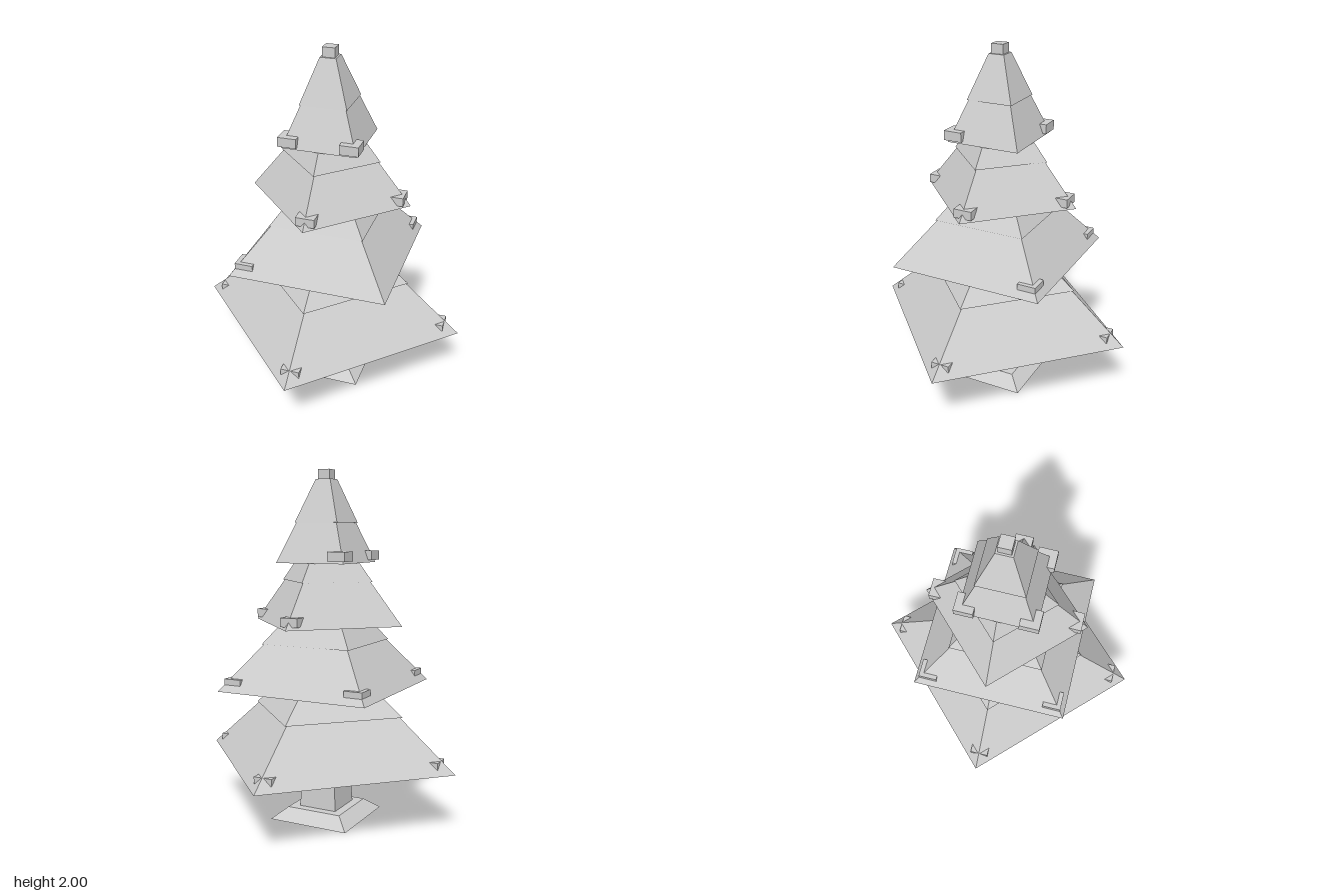
import * as THREE from 'three';

const paint = new THREE.MeshStandardMaterial({ color: 0xcccccc });
paint.name = 'light grey';

// Four-sided frustum; r is the half width (square) or the corner distance (diamond)
function frustum(name, y0, y1, r0, r1, diamond = false) {
  const k = diamond ? 1 : Math.SQRT2;
  let geo = new THREE.CylinderGeometry(r1 * k, r0 * k, y1 - y0, 4);
  if (!diamond) geo.rotateY(Math.PI / 4);
  geo = geo.toNonIndexed();
  geo.computeVertexNormals();
  geo.translate(0, (y0 + y1) / 2, 0);
  const mesh = new THREE.Mesh(geo, paint);
  mesh.name = name;
  return mesh;
}

// Each tier: lower skirt [y0, r0], seam height, skirt top radius, then an overhanging upper skirt
// Ornaments: box height range, distance from the axis, and the corners that carry one [x, z]
const tiers = [
  { name: 'bottomTier', diamond: true, y: [0.345, 0.631, 0.80], r: [0.79, 0.46, 0.476, 0.272],
    oy: [0.376, 0.414], od: 0.653, corners: [[0, 1], [1, 0], [0, -1], [-1, 0]] },
  { name: 'lowerTier', diamond: false, y: [0.773, 1.029, 1.16], r: [0.45, 0.261, 0.27, 0.177],
    oy: [0.806, 0.844], od: 0.37, corners: [[-1, -1], [1, -1], [-1, 1]] },
  { name: 'upperTier', diamond: true, y: [1.14, 1.38, 1.50], r: [0.467, 0.275, 0.287, 0.193],
    oy: [1.156, 1.205], od: 0.381, corners: [[0, 1], [1, 0], [0, -1]] },
  { name: 'topTier', diamond: false, y: [1.483, 1.706, 1.947], r: [0.209, 0.125, 0.132, 0.045],
    oy: [1.496, 1.549], od: 0.172, corners: [[-1, -1], [-1, 1], [1, 1]] },
];

export function createModel() {
  const tree = new THREE.Group();
  tree.name = 'tree';

  // Stand and trunk
  tree.add(frustum('base', 0, 0.063, 0.24, 0.165));
  tree.add(frustum('trunk', 0.06, 0.35, 0.115, 0.098));

  // Foliage tiers, alternately turned by 45 degrees, with box ornaments at the corners
  for (const t of tiers) {
    const tier = new THREE.Group();
    tier.name = t.name;
    const [y0, y1, y2] = t.y;
    const [r0, r1, r2, r3] = t.r;
    tier.add(frustum('lowerSkirt', y0, y1, r0, r1, t.diamond));
    tier.add(frustum('upperSkirt', y1, y2, r2, r3, t.diamond));
    for (const [x, z] of t.corners) {
      const box = new THREE.BoxGeometry(0.105, t.oy[1] - t.oy[0], 0.105);
      const ornament = new THREE.Mesh(box, paint);
      ornament.name = 'ornament';
      ornament.position.set(x * t.od, (t.oy[0] + t.oy[1]) / 2, z * t.od);
      tier.add(ornament);
    }
    tree.add(tier);
  }

  // Block on the tip
  const topper = new THREE.Mesh(new THREE.BoxGeometry(0.07, 0.06, 0.07), paint);
  topper.name = 'topper';
  topper.position.y = 1.97;
  tree.add(topper);

  return tree;
}
